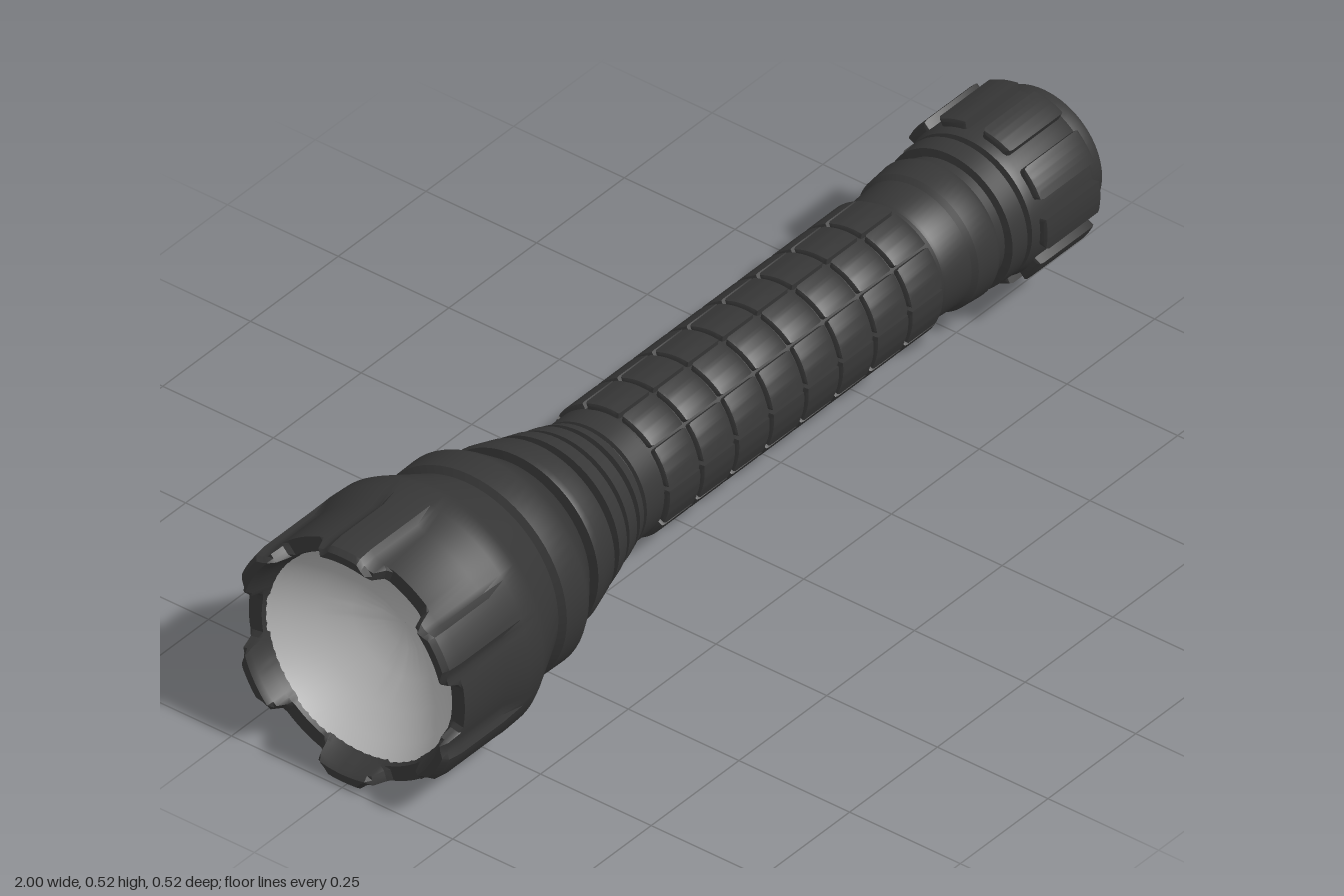
import * as THREE from 'three';
import { toCreasedNormals } from 'three/addons/utils/BufferGeometryUtils.js';

const AXIS_Y = 0.26;

// Turned part along the x axis, from [x, radius] points running towards +x on the outside
function turned(points, segments = 64, rule) {
  const g = new THREE.LatheGeometry(points.map(([x, r]) => new THREE.Vector2(r, x)), segments);
  g.rotateZ(-Math.PI / 2);
  if (rule) {
    const p = g.attributes.position;
    const v = new THREE.Vector3();
    for (let i = 0; i < p.count; i++) {
      v.fromBufferAttribute(p, i);
      rule(v);
      p.setXYZ(i, v.x, v.y, v.z);
    }
  }
  return toCreasedNormals(g, 0.55);
}

// Curved block of the given angular width, extruded along x from x = 0
function curvedBlock(inner, outer, width, length, bevel) {
  const a = width / 2 - bevel / outer;
  const s = new THREE.Shape();
  s.absarc(0, 0, outer - bevel, -a, a, false);
  s.absarc(0, 0, inner, a, -a, true);
  s.closePath();
  const g = new THREE.ExtrudeGeometry(s, {
    depth: length - 2 * bevel, bevelEnabled: true, bevelSize: bevel,
    bevelThickness: bevel, bevelSegments: 2, curveSegments: 5,
  });
  g.translate(0, 0, bevel);
  g.rotateY(Math.PI / 2);
  return toCreasedNormals(g, 0.5);
}

export function createModel() {
  const black = new THREE.MeshStandardMaterial({ color: 0x373737 });
  black.name = 'blackMetal';
  const silver = new THREE.MeshStandardMaterial({ color: 0xb4b4b4, side: THREE.DoubleSide });
  silver.name = 'silver';

  const model = new THREE.Group();
  model.name = 'flashlight';
  const torch = new THREE.Group();
  torch.name = 'torch';
  torch.position.y = AXIS_Y;
  model.add(torch);

  const add = (name, geometry, material, parent = torch) => {
    const m = new THREE.Mesh(geometry, material);
    m.name = name;
    parent.add(m);
    return m;
  };

  // Head with six shallow flutes and a notched crown
  const step = Math.PI / 3;
  const deg = THREE.MathUtils.radToDeg;
  const crown = (v) => {
    const t = Math.atan2(v.y, v.z);
    const d = deg(Math.abs(t - Math.round(t / step) * step));
    const notch = 1 - THREE.MathUtils.smoothstep(d, 11, 17);
    const flute = 1 - THREE.MathUtils.smoothstep(d, 18, 23);
    const r = Math.hypot(v.y, v.z);
    if (v.x < -0.8 && r > 0.235) {
      const k = 1 - 0.014 * flute / r;
      v.y *= k;
      v.z *= k;
    }
    v.x = Math.max(v.x, -1 + 0.042 * notch);
  };
  add('head', turned([
    [-0.94, 0.205], [-0.96, 0.215], [-0.99, 0.222], [-1, 0.23], [-1, 0.245], [-0.99, 0.254],
    [-0.96, 0.258], [-0.84, 0.258], [-0.79, 0.258], [-0.75, 0.256], [-0.735, 0.25], [-0.645, 0.207],
  ], 144, crown), black);

  // Neck collar and cooling fins narrowing to the handle
  add('neck', turned([
    [-0.66, 0.2], [-0.645, 0.207], [-0.637, 0.22], [-0.58, 0.221], [-0.565, 0.213], [-0.515, 0.175],
    [-0.505, 0.16], [-0.503, 0.185], [-0.49, 0.187], [-0.44, 0.172], [-0.432, 0.162], [-0.43, 0.142],
    [-0.42, 0.142], [-0.418, 0.165], [-0.385, 0.156], [-0.383, 0.135], [-0.372, 0.135],
    [-0.37, 0.15], [-0.34, 0.143], [-0.338, 0.124], [-0.327, 0.124], [-0.325, 0.138],
    [-0.305, 0.131], [-0.303, 0.12], [-0.295, 0.12], [-0.293, 0.128], [-0.245, 0.128], [-0.24, 0.122],
  ]), black);

  // Handle core
  add('handle', turned([[-0.25, 0.123], [0.57, 0.123]]), black);

  // Grip pads: eight rings of ten
  const grip = new THREE.Group();
  grip.name = 'grip';
  torch.add(grip);
  const sector = Math.PI / 5;
  const pad = curvedBlock(0.112, 0.136, sector - 0.045, 0.09, 0.006);
  for (let i = 0; i < 8; i++) {
    for (let j = 0; j < 10; j++) {
      const m = add('gripPad', pad, black, grip);
      m.position.x = -0.237 + i * 0.0988;
      m.rotation.x = THREE.MathUtils.degToRad(10) + j * sector;
    }
  }

  // Rear collars
  add('rearCollars', turned([
    [0.555, 0.12], [0.565, 0.126], [0.63, 0.13], [0.64, 0.138], [0.69, 0.142], [0.7, 0.138],
    [0.702, 0.127], [0.728, 0.127], [0.73, 0.143], [0.77, 0.145], [0.772, 0.128], [0.79, 0.128],
  ]), black);

  // Tail cap with its recessed end
  add('tailCap', turned([
    [0.78, 0.125], [0.783, 0.145], [0.8, 0.15], [0.95, 0.15], [0.96, 0.145], [0.965, 0.132],
    [0.99, 0.134], [1, 0.131], [1, 0.101], [0.995, 0.098], [0.975, 0.098],
  ]), black);

  // Ten grip lugs round the tail cap
  const lug = curvedBlock(0.135, 0.167, 0.4, 0.155, 0.008);
  for (let j = 0; j < 10; j++) {
    const m = add('tailLug', lug, black);
    m.position.x = 0.8;
    m.rotation.x = j * sector;
  }

  // Tail button
  const button = new THREE.CircleGeometry(0.1, 48);
  button.rotateY(Math.PI / 2);
  add('tailButton', button, silver).position.x = 0.982;

  // Reflector bowl inside the head
  add('reflector', turned([
    [-0.82, 0.001], [-0.825, 0.05], [-0.845, 0.1], [-0.88, 0.15], [-0.92, 0.19], [-0.952, 0.212],
  ].reverse(), 64), silver);

  return model;
}
